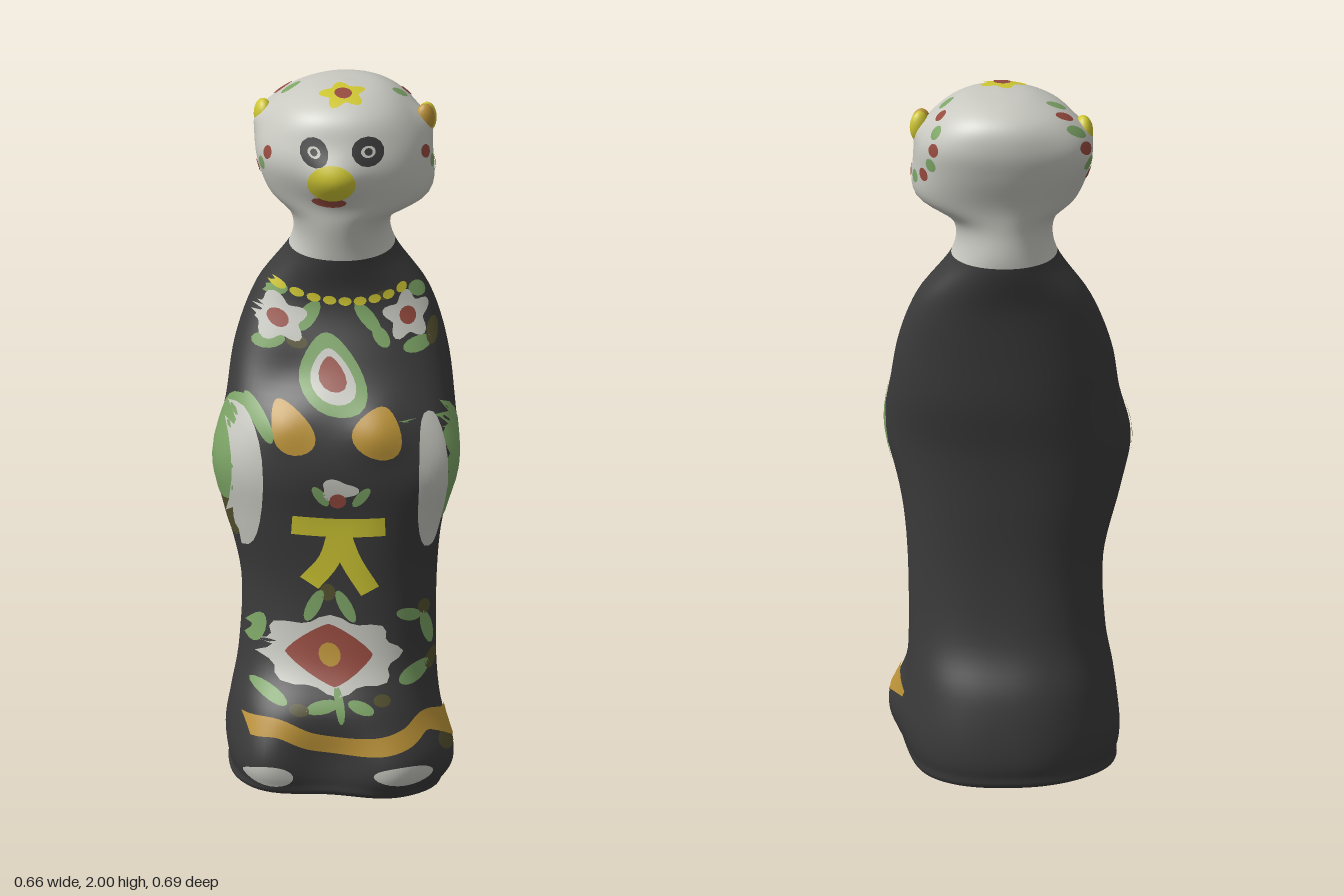
import * as THREE from 'three';

const mat = (name, color) => Object.assign(new THREE.MeshStandardMaterial({ color }), { name });
const black = mat('charcoal', 0x3b3b3b), white = mat('offWhite', 0xc9c9c2), green = mat('leafGreen', 0x7da566),
  yellow = mat('yellow', 0xcec633), orange = mat('ochre', 0xbd9438), red = mat('brickRed', 0x964b3f), olive = mat('olive', 0x55522f);

// Cross-sections: y, xMin, xMax, zMin, zMax, squareness
const SECTIONS = [
  [0.02, 0, 0, 0, 0, 2.4], [0.02, -0.28, 0.24, -0.28, 0.26, 2.4], [0.06, -0.31, 0.275, -0.315, 0.31, 2.4],
  [0.14, -0.32, 0.29, -0.32, 0.32, 2.4], [0.26, -0.305, 0.28, -0.3, 0.285, 2.4], [0.4, -0.27, 0.27, -0.25, 0.215, 2.4],
  [0.6, -0.26, 0.27, -0.23, 0.19, 2.4], [0.8, -0.3, 0.28, -0.245, 0.195, 2.3], [0.95, -0.32, 0.295, -0.26, 0.2, 2.3],
  [1.1, -0.285, 0.317, -0.275, 0.17, 2.3], [1.25, -0.245, 0.315, -0.285, 0.1, 2.2], [1.4, -0.18, 0.28, -0.29, 0.035, 2.2],
  [1.53, -0.1, 0.2, -0.29, 0.025, 2.1], [1.63, -0.1, 0.195, -0.28, 0.04, 2.1], [1.7, -0.155, 0.285, -0.295, 0.07, 2.2],
  [1.8, -0.185, 0.295, -0.33, 0.09, 2.2], [1.88, -0.165, 0.285, -0.34, 0.075, 2.2], [1.95, -0.115, 0.235, -0.315, 0.04, 2.2],
  [1.99, -0.03, 0.16, -0.24, -0.035, 2.1], [2.0, 0.06, 0.06, -0.14, -0.14, 2],
];
const NECK = 12, SUB = 6, AROUND = 72;
const FX = -0.42, FZ = 0.91; // horizontal facing direction

// Soft bulges and dents: x, y, z, radius, push along x, push along z
const BUMPS = [
  [-0.045, 1.78, 0.09, 0.075, -0.018, 0.042], // snout
  [-0.1, 1.87, -0.29, 0.1, -0.02, -0.02], // back of the skull
  [0.27, 1.9, -0.05, 0.045, 0.02, 0], [-0.15, 1.9, -0.23, 0.045, -0.02, 0], // ears
  [-0.18, 1.08, 0.05, 0.07, -0.008, 0.018], [0.055, 1.07, 0.16, 0.07, -0.012, 0.027], // paws
  [-0.18, 1.2, 0.04, 0.1, 0.015, -0.02], [-0.06, 0.82, 0.16, 0.13, 0.006, -0.012], // chest and belly hollows
  [0.24, 0.96, 0.17, 0.15, 0.03, 0.045], [-0.31, 0.95, -0.08, 0.12, -0.01, 0], // arms
  [0.09, 0.11, 0.31, 0.1, -0.012, 0.03], [-0.27, 0.11, 0.16, 0.1, -0.008, 0.018], // feet
  [-0.12, 0.12, 0.27, 0.13, 0.027, -0.06], // gap between the feet
  [0.22, 0.12, 0.21, 0.13, 0.045, 0.05], [-0.22, 0.1, -0.22, 0.14, -0.02, -0.025], // base corners
];

function catmull(t, col) {
  const i = Math.min(Math.floor(t), SECTIONS.length - 2), f = t - i;
  const g = (k) => SECTIONS[Math.max(0, Math.min(SECTIONS.length - 1, k))][col];
  const a = g(i - 1), b = g(i), c = g(i + 1), d = g(i + 2);
  return b + 0.5 * f * (c - a + f * (2 * a - 5 * b + 4 * c - d + f * (3 * (b - c) + d - a)));
}

// One smooth skin from base to crown, split in two at the neck
function buildSkin() {
  const rows = (SECTIONS.length - 1) * SUB, pos = [], lower = [], upper = [];
  for (let j = 0; j <= rows; j++) {
    const [y, x0, x1, z0, z1, n] = [0, 1, 2, 3, 4, 5].map((c) => catmull(j / SUB, c));
    const X = (x1 - x0) / 2, Z = (z1 - z0) / 2, sum = X * X + Z * Z;
    // Half width across the shoulders and half depth along the facing direction
    const lim = 0.75 * sum, diff = Math.max(-lim, Math.min(lim, (X * X - Z * Z) / (FZ * FZ - FX * FX)));
    const wide = Math.sqrt((sum + diff) / 2), deep = Math.sqrt((sum - diff) / 2), ring = [];
    for (let i = 0; i < AROUND; i++) {
      const a = (i / AROUND) * Math.PI * 2, c = Math.cos(a), s = Math.sin(a);
      const p = wide * Math.sign(c) * Math.abs(c) ** (2 / n), q = deep * Math.sign(s) * Math.abs(s) ** (2 / n);
      ring.push([p * FZ + q * FX, -p * FX + q * FZ]);
    }
    const mx = Math.max(...ring.map((r) => r[0])) || 1, mz = Math.max(...ring.map((r) => r[1])) || 1;
    for (const [u, w] of ring) {
      const x = (x0 + x1) / 2 + (u / mx) * X, z = (z0 + z1) / 2 + (w / mz) * Z;
      let dx = 0, dz = 0;
      for (const [bx, by, bz, r, px, pz] of BUMPS) {
        const k = Math.exp(-((x - bx) ** 2 + (y - by) ** 2 + (z - bz) ** 2) / (r * r));
        dx += k * px;
        dz += k * pz;
      }
      const low = Math.max(0, 1 - y / 0.3); // uneven underside
      pos.push(x + dx, Math.max(0, y + low * (-0.003 - 0.06 * x + 0.04 * z)), z + dz);
    }
  }
  for (let j = 0; j < rows; j++) for (let i = 0; i < AROUND; i++) {
    const a = j * AROUND + i, b = j * AROUND + (i + 1) % AROUND;
    (j < NECK * SUB ? lower : upper).push(a, a + AROUND, b, b, a + AROUND, b + AROUND);
  }
  const body = new THREE.BufferGeometry();
  body.setAttribute('position', new THREE.Float32BufferAttribute(pos, 3));
  body.setIndex([...lower, ...upper]);
  body.computeVertexNormals();
  const head = body.clone();
  body.setIndex(lower);
  head.setIndex(upper);
  return [body, head];
}

// Directions from which paint is laid on the skin
const V = (x, y, z) => new THREE.Vector3(x, y, z);
const SIDES = {
  front: [V(1, 0, 0), V(0, 1, 0), V(0, 0, 1)], left: [V(0, 0, -1), V(0, 1, 0), V(1, 0, 0)],
  right: [V(0, 0, 1), V(0, 1, 0), V(-1, 0, 0)], top: [V(1, 0, 0), V(0, 0, -1), V(0, 1, 0)],
};

export function createModel() {
  const model = new THREE.Group();
  const add = (name, geo, m) => {
    const mesh = new THREE.Mesh(geo, m);
    mesh.name = name;
    model.add(mesh);
    return mesh;
  };
  const [bodyGeo, headGeo] = buildSkin();
  const skin = [add('body', bodyGeo, black), add('head', headGeo, white)];
  const ray = new THREE.Raycaster();

  // Thin painted patch: a grid of (u, v) points dropped onto the skin
  function paint(name, m, side, layer, ns, nt, point) {
    const [U, W, D] = SIDES[side], pos = [], nor = [], ok = [], idx = [];
    for (let s = 0; s <= ns; s++) for (let t = 0; t <= nt; t++) {
      const [u, v] = point(s / ns, t / nt);
      ray.set(V(0, 0, 0).addScaledVector(U, u).addScaledVector(W, v).addScaledVector(D, 3), D.clone().negate());
      const hit = ray.intersectObjects(skin, false)[0];
      ok.push(!!hit);
      const n = hit ? hit.normal.clone().normalize() : V(0, 0, 0);
      const p = hit ? hit.point.addScaledVector(n, 0.003 + 0.002 * layer) : n;
      pos.push(p.x, p.y, p.z);
      nor.push(n.x, n.y, n.z);
    }
    const tri = (...k) => k.every((i) => ok[i]) && idx.push(...k);
    for (let s = 0; s < ns; s++) for (let t = 0; t < nt; t++) {
      const a = s * (nt + 1) + t, b = a + nt + 1;
      tri(a, b, a + 1);
      tri(b, b + 1, a + 1);
    }
    const g = new THREE.BufferGeometry();
    g.setAttribute('position', new THREE.Float32BufferAttribute(pos, 3));
    g.setAttribute('normal', new THREE.Float32BufferAttribute(nor, 3));
    g.setIndex(idx);
    add(name, g, m);
  }
  // Oval, lobed, tapered or diamond blob
  function blob(name, m, side, u, v, hw, hh, deg = 0, layer = 0, { lobes = 0, amp = 0, taper = 0, pow = 1 } = {}) {
    const r = deg * Math.PI / 180, big = Math.max(hw, hh);
    paint(name, m, side, layer, lobes ? 40 : big > 0.05 ? 24 : 14, big > 0.1 ? 5 : big > 0.05 ? 4 : 2, (s, t) => {
      const a = s * Math.PI * 2, k = (1 - t) * (1 + amp * Math.cos(lobes * a)), c = Math.cos(a), d = Math.sin(a);
      const y = k * Math.sign(d) * Math.abs(d) ** pow, x = k * Math.sign(c) * Math.abs(c) ** pow * (1 - taper * y);
      return [u + x * hw * Math.cos(r) - y * hh * Math.sin(r), v + x * hw * Math.sin(r) + y * hh * Math.cos(r)];
    });
  }
  function ribbon(name, m, pts, width, n = 10, layer = 0) {
    const curve = new THREE.CatmullRomCurve3(pts.map(([x, y]) => V(x, y, 0)));
    paint(name, m, 'front', layer, n, 3, (s, t) => {
      const p = curve.getPoint(s), d = curve.getTangent(s), w = (t - 0.5) * width;
      return [p.x - d.y * w, p.y + d.x * w];
    });
  }
  const leaves = (m, list) => list.forEach(([x, y, hw, hh, deg]) => blob('leaf', m, 'front', x, y, hw, hh, deg));

  // Collar beads and shoulder flowers
  for (let i = 0; i < 9; i++) {
    const k = i / 4 - 1;
    blob('collarBead', yellow, 'front', 0.015 + 0.155 * k, 1.405 + 0.03 * k * k, 0.017, 0.013, 20 * k, 1);
  }
  for (const [x, y] of [[-0.15, 1.345], [0.18, 1.36]]) {
    blob('shoulderFlower', white, 'front', x, y, 0.06, 0.055, 20, 1, { lobes: 5, amp: 0.22 });
    blob('shoulderFlowerCentre', red, 'front', x, y, 0.024, 0.024, 0, 2);
  }
  leaves(green, [[-0.08, 1.36, 0.02, 0.05, -35], [0.07, 1.36, 0.02, 0.05, 35], [-0.15, 1.42, 0.03, 0.018, 20],
    [0.22, 1.42, 0.03, 0.018, -20], [-0.18, 1.285, 0.04, 0.02, 20], [0.2, 1.285, 0.045, 0.02, 10], [0.1, 1.31, 0.02, 0.03, 30]]);
  leaves(olive, [[-0.115, 1.29, 0.025, 0.018, 0], [0.25, 1.31, 0.02, 0.035, -20], [0.12, 1.42, 0.025, 0.014, 0]]);

  // Chest drop
  [[green, 0.078, 0.105, 1.215], [white, 0.052, 0.07, 1.21], [red, 0.032, 0.045, 1.215]].forEach(([m, w, h, y], i) =>
    blob('chestDrop', m, 'front', -0.04, y, w, h, 0, i, { taper: 0.35 }));

  // Paws
  blob('rightPaw', orange, 'front', -0.165, 1.075, 0.05, 0.07, 14, 0, { taper: 0.35 });
  blob('leftPaw', orange, 'front', 0.055, 1.075, 0.062, 0.07, -22, 0, { taper: 0.35 });

  // Arms
  blob('leftArmOuter', green, 'left', -0.17, 0.965, 0.065, 0.178, 0, 0, { pow: 0.8 });
  blob('leftArmInner', white, 'front', 0.2, 0.92, 0.043, 0.2, 0, 1, { pow: 0.8 });
  blob('rightArmShade', olive, 'right', -0.05, 0.83, 0.045, 0.1, 0, 0);
  blob('rightArmOuter', green, 'right', -0.065, 0.99, 0.075, 0.15, 0, 1, { pow: 0.8 });
  blob('rightArmInner', white, 'front', -0.272, 0.915, 0.033, 0.2, 0, 2, { pow: 0.8 });
  blob('rightArmEdge', green, 'front', -0.235, 1.09, 0.018, 0.06, 15);

  // Small belly flower and bow
  blob('bellyFlower', white, 'front', -0.055, 0.91, 0.045, 0.03, 0, 0, { lobes: 3, amp: 0.2 });
  blob('bellyFlowerCentre', red, 'front', -0.055, 0.878, 0.022, 0.022, 0, 1);
  leaves(green, [[-0.1, 0.89, 0.014, 0.035, 35], [0.005, 0.89, 0.014, 0.035, -35]]);
  ribbon('bowBand', yellow, [[-0.17, 0.8], [-0.05, 0.795], [0.07, 0.8]], 0.055);
  ribbon('bowTail', yellow, [[-0.05, 0.79], [-0.075, 0.7], [-0.125, 0.63]], 0.055, 8, 1);
  ribbon('bowTail', yellow, [[-0.05, 0.79], [-0.02, 0.7], [0.03, 0.61]], 0.055, 8, 1);

  // Large skirt flower with leaves
  blob('skirtFlower', white, 'front', -0.075, 0.43, 0.175, 0.1, 0, 0, { lobes: 8, amp: 0.1 });
  blob('skirtFlowerDiamond', red, 'front', -0.08, 0.43, 0.11, 0.085, 0, 1, { pow: 1.6 });
  blob('skirtFlowerCentre', orange, 'front', -0.082, 0.43, 0.028, 0.033, 0, 2);
  leaves(green, [[-0.115, 0.565, 0.017, 0.05, -25], [-0.035, 0.565, 0.017, 0.05, 25], [0.14, 0.53, 0.04, 0.018, -15],
    [0.2, 0.475, 0.02, 0.055, 20], [0.15, 0.365, 0.055, 0.024, 15], [-0.245, 0.48, 0.016, 0.045, -15], [-0.24, 0.32, 0.04, 0.02, -35],
    [-0.12, 0.295, 0.045, 0.017, 15], [-0.02, 0.295, 0.035, 0.017, -20], [-0.075, 0.3, 0.012, 0.05, 0]]);
  leaves(olive, [[-0.08, 0.605, 0.02, 0.025, 0], [0.19, 0.54, 0.02, 0.025, 40], [0.215, 0.38, 0.03, 0.025, 20],
    [-0.18, 0.285, 0.025, 0.016, 0], [0.04, 0.31, 0.025, 0.016, 0], [0.23, 0.175, 0.035, 0.025, -20]]);

  // Hem stripe and toes
  ribbon('hemStripe', orange, [[-0.3, 0.23], [-0.24, 0.235], [-0.15, 0.2], [0, 0.19], [0.1, 0.21], [0.16, 0.24], [0.22, 0.22], [0.275, 0.185]], 0.05, 40, 1);
  blob('rightToes', white, 'front', -0.26, 0.1, 0.055, 0.03, -5);
  blob('leftToes', white, 'front', 0.085, 0.11, 0.085, 0.028, 0);

  // Face
  for (const [x, y, w, tilt] of [[-0.08, 1.865, 0.032, -15], [0.058, 1.87, 0.046, 10]]) {
    blob('eye', black, 'front', x, y, w, 0.04, tilt, 0);
    blob('eyeWhite', white, 'front', x, y, w * 0.45, 0.016, tilt, 1);
    blob('pupil', black, 'front', x, y, w * 0.25, 0.01, tilt, 2);
  }
  blob('nose', yellow, 'front', -0.042, 1.782, 0.057, 0.055, 0, 1);
  blob('mouth', red, 'front', -0.04, 1.718, 0.042, 0.018);

  // Ears, each part-ringed with dots
  const ball = (name, m, p, s) => {
    const b = add(name, new THREE.SphereGeometry(1, 20, 14), m);
    b.position.set(...p);
    b.scale.set(...s);
  };
  ball('leftEar', yellow, [0.272, 1.895, -0.06], [0.028, 0.045, 0.022]);
  ball('leftEarFold', orange, [0.262, 1.9, -0.045], [0.028, 0.042, 0.022]);
  ball('rightEar', yellow, [-0.145, 1.89, -0.235], [0.026, 0.045, 0.034]);
  ball('rightEarFold', orange, [-0.142, 1.87, -0.22], [0.024, 0.028, 0.026]);
  for (const [side, u, dir] of [['left', 0.075, 1], ['right', -0.2, -1]]) for (let i = 0; i < 10; i++) {
    const a = (82 - i * 27) * Math.PI / 180, high = Math.sin(a) > 0.6; // flatter where the crown slopes
    blob('earDot', i % 2 ? red : green, side, u + dir * 0.11 * Math.cos(a), 1.865 + 0.1 * Math.sin(a), 0.018, high ? 0.013 : 0.019);
  }

  // Crown flower
  blob('crownFlower', yellow, 'top', 0.03, 0.062, 0.055, 0.055, 10, 0, { lobes: 5, amp: 0.22 });
  blob('crownFlowerCentre', red, 'top', 0.03, 0.06, 0.024, 0.028, 0, 1);
  return model;
}
